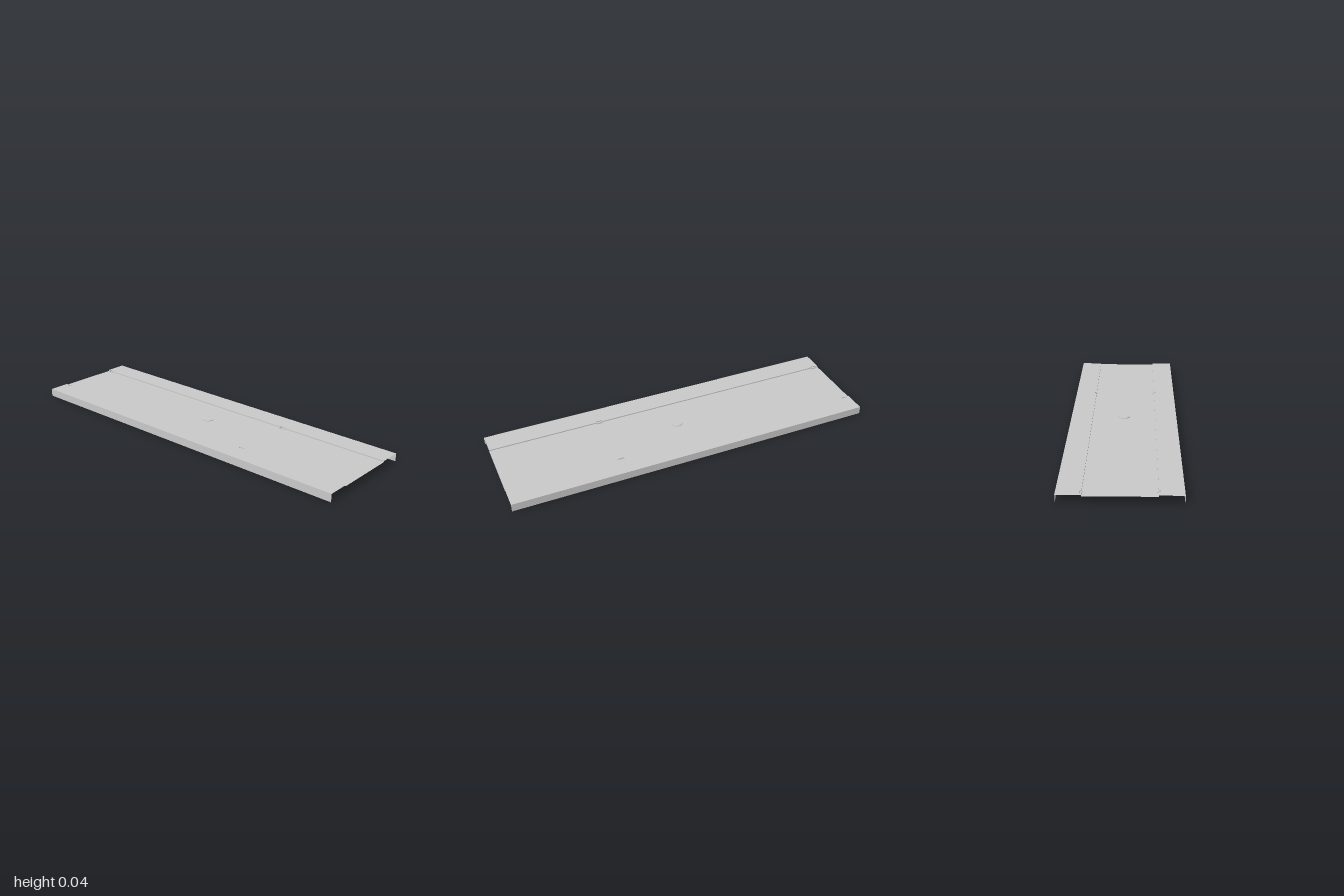
import * as THREE from 'three';

const material = new THREE.MeshStandardMaterial({ color: 0xcccccc, side: THREE.DoubleSide, flatShading: true });

const TOP = 0.043, DECK = 0.037, PIT = 0.031; // sheet levels
const EDGE = 0.286, CUT = 0.179, STEP = 0.17, INNER = 0.161; // half widths in z

// Cross-sections [z, y] from the flange foot to the centre panel
const plain = [[EDGE, 0], [EDGE, TOP], [STEP, TOP], [STEP, DECK], [INNER, DECK]];
const notched = [[EDGE, 0], [EDGE, TOP], [CUT, TOP], [CUT, DECK], [STEP, DECK], [STEP, PIT], [INNER, PIT], [INNER, DECK]];

function addQuad(out, a, b, c, d) {
  out.push(...a, ...b, ...c, ...a, ...c, ...d);
}

function meshFrom(positions, name) {
  const geometry = new THREE.BufferGeometry();
  geometry.setAttribute('position', new THREE.Float32BufferAttribute(positions, 3));
  geometry.computeVertexNormals();
  const mesh = new THREE.Mesh(geometry, material);
  mesh.name = name;
  return mesh;
}

// Sweeps a cross-section along x; side is +1 or -1 in z
function sweep(profile, x0, x1, side, name) {
  const out = [];
  for (let i = 0; i < profile.length - 1; i++) {
    const [za, ya] = profile[i], [zb, yb] = profile[i + 1];
    const quad = [[x0, ya, side * za], [x1, ya, side * za], [x1, yb, side * zb], [x0, yb, side * zb]];
    if (side < 0) quad.reverse();
    addQuad(out, ...quad);
  }
  return meshFrom(out, name);
}

// Small walls closing both ends of a notch
function notchEnds(x0, x1, side) {
  const out = [];
  for (const x of [x0, x1]) {
    for (const [za, zb, ya, yb] of [[STEP, CUT, DECK, TOP], [INNER, STEP, PIT, DECK]]) {
      const quad = [[x, ya, side * za], [x, yb, side * za], [x, yb, side * zb], [x, ya, side * zb]];
      if (side < 0) quad.reverse();
      addQuad(out, ...quad);
    }
  }
  return meshFrom(out, 'notchEndWalls');
}

export function createModel() {
  const group = new THREE.Group();
  group.name = 'sheetMetalTray';

  // Flanged rails on both long sides, interrupted by two notches each
  const stops = [-1, -0.985, -0.95, 0.37, 0.405, 1];
  for (const side of [1, -1]) {
    const rail = new THREE.Group();
    rail.name = side > 0 ? 'frontRail' : 'backRail';
    for (let i = 0; i < stops.length - 1; i++) {
      const isNotch = i % 2 === 1;
      rail.add(sweep(isNotch ? notched : plain, stops[i], stops[i + 1], side, isNotch ? 'railNotch' : 'railSection'));
      if (isNotch) rail.add(notchEnds(stops[i], stops[i + 1], side));
    }
    group.add(rail);
  }

  // Centre panel with a round opening for the embossed disc
  const radius = 0.032;
  const outline = new THREE.Shape();
  outline.moveTo(-1, -INNER).lineTo(1, -INNER).lineTo(1, INNER).lineTo(-1, INNER).closePath();
  outline.holes.push(new THREE.Path().absarc(0, 0, radius, 0, Math.PI * 2, true));
  const panel = new THREE.Mesh(new THREE.ShapeGeometry(outline, 16).rotateX(-Math.PI / 2), material);
  panel.name = 'centrePanel';
  panel.position.y = DECK;
  group.add(panel);

  // Raised disc: short wall and flat cap
  const rise = 0.0035;
  const wall = new THREE.Mesh(new THREE.CylinderGeometry(radius, radius, rise, 32, 1, true), material);
  wall.name = 'discWall';
  wall.position.y = DECK + rise / 2;
  const cap = new THREE.Mesh(new THREE.CircleGeometry(radius, 32).rotateX(-Math.PI / 2), material);
  cap.name = 'discCap';
  cap.position.y = DECK + rise;
  group.add(wall, cap);

  return group;
}
